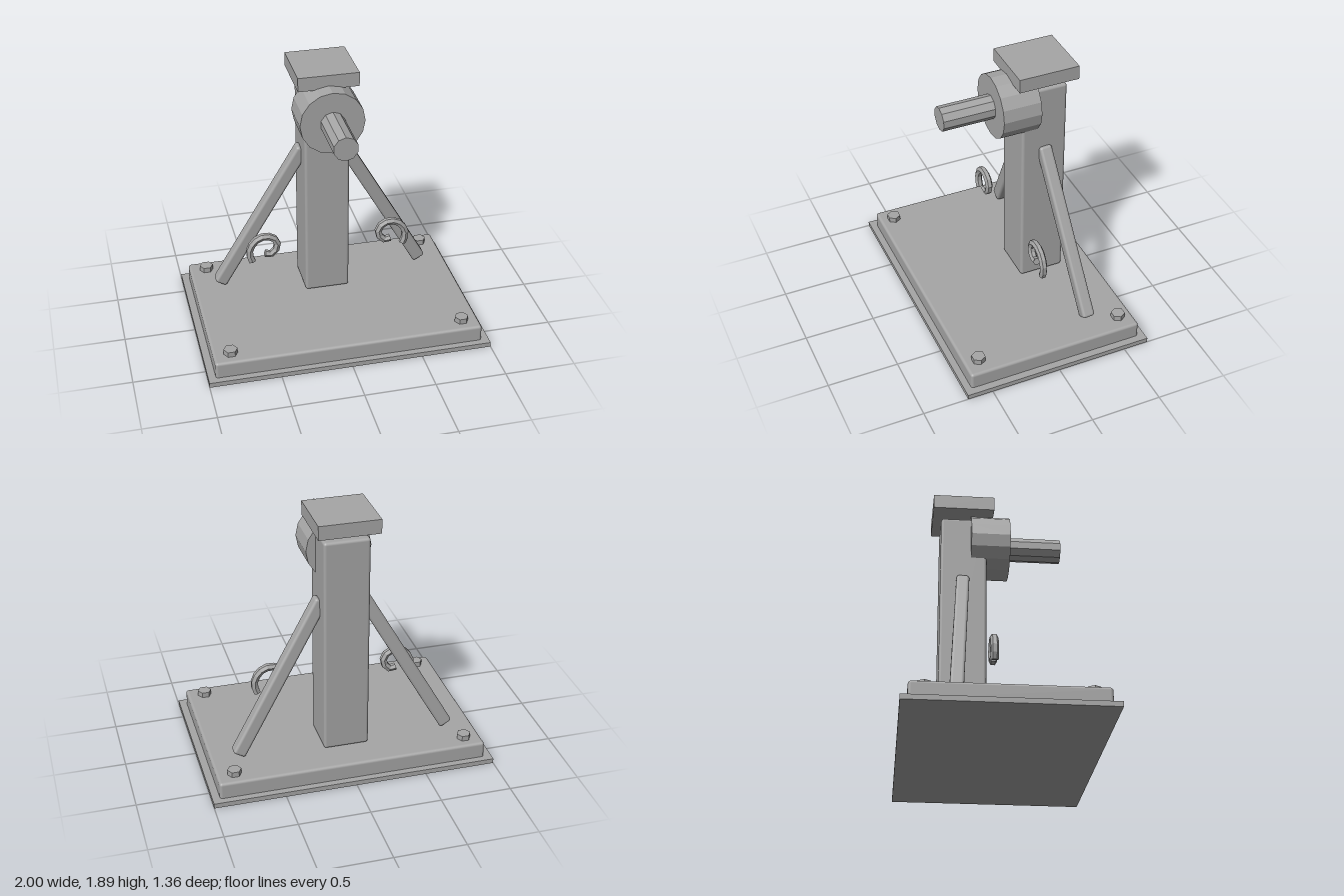
import * as THREE from 'three';
import { RoundedBoxGeometry } from 'three/addons/geometries/RoundedBoxGeometry.js';

export function createModel() {
  const model = new THREE.Group();
  const grey = new THREE.MeshStandardMaterial({ color: 0xa6a6a6 });
  grey.name = 'plain grey';

  // Faceted normals for low-poly parts
  const facet = (geometry) => {
    const g = geometry.index ? geometry.toNonIndexed() : geometry;
    g.computeVertexNormals();
    return g;
  };
  const add = (name, geometry, x = 0, y = 0, z = 0, parent = model) => {
    const mesh = new THREE.Mesh(geometry, grey);
    mesh.name = name;
    mesh.position.set(x, y, z);
    parent.add(mesh);
    return mesh;
  };

  // Stepped base
  add('bottomPlate', new THREE.BoxGeometry(2, 0.035, 1.36), 0, 0.0175, 0);
  add('base', new RoundedBoxGeometry(1.895, 0.14, 1.265, 2, 0.02), 0, 0.08, 0);

  // Hexagonal bolts in the corners
  for (const x of [-0.825, 0.825]) {
    for (const z of [-0.53, 0.53]) {
      const bolt = new THREE.CylinderGeometry(0.049, 0.049, 0.04, 6).rotateY(Math.PI / 6);
      add('bolt', facet(bolt), x, 0.168, z);
    }
  }

  // Upright post with its top block
  add('post', new RoundedBoxGeometry(0.32, 1.58, 0.325, 2, 0.02), 0, 0.943, -0.25);
  add('topBlock', new THREE.BoxGeometry(0.425, 0.1, 0.43), 0, 1.837, -0.255);

  // Hub and shaft pointing forward
  add('hub', facet(new THREE.CylinderGeometry(0.226, 0.226, 0.275, 16).rotateX(Math.PI / 2)),
    0, 1.585, -0.0625);
  add('shaft', facet(new THREE.CylinderGeometry(0.086, 0.086, 0.4, 10).rotateX(Math.PI / 2)),
    0, 1.585, 0.245);

  // Hook centreline, from the open tip over the top to the curled end
  const hookPoints = [
    [0.553, 0.478], [0.573, 0.548], [0.556, 0.607], [0.513, 0.655], [0.449, 0.671],
    [0.39, 0.644], [0.369, 0.591], [0.39, 0.543], [0.422, 0.521], [0.46, 0.53],
  ];

  for (const side of [-1, 1]) {
    const label = side > 0 ? 'left' : 'right';

    // Diagonal brace from post to base
    const top = new THREE.Vector3(side * 0.14, 1.257, -0.255);
    const foot = new THREE.Vector3(side * 0.755, 0.172, -0.325);
    const up = top.clone().sub(foot);
    const mid = top.clone().add(foot).multiplyScalar(0.5);
    const brace = add(label + 'Brace',
      new RoundedBoxGeometry(0.095, up.length(), 0.09, 2, 0.02), mid.x, mid.y, mid.z);
    brace.quaternion.setFromUnitVectors(new THREE.Vector3(0, 1, 0), up.normalize());

    // Curled hook with closed ends
    const hook = new THREE.Group();
    hook.name = label + 'Hook';
    model.add(hook);
    const curve = new THREE.CatmullRomCurve3(
      hookPoints.map(([x, y]) => new THREE.Vector3(side * x, y, -0.068)));
    add('hookBar', facet(new THREE.TubeGeometry(curve, 11, 0.027, 6)), 0, 0, 0, hook);
    for (const t of [0, 1]) {
      const p = curve.getPointAt(t);
      const out = curve.getTangentAt(t).multiplyScalar(t ? 1 : -1);
      const cap = add('hookEnd', new THREE.CircleGeometry(0.027, 6), p.x, p.y, p.z, hook);
      cap.quaternion.setFromUnitVectors(new THREE.Vector3(0, 0, 1), out);
    }
  }
  return model;
}
